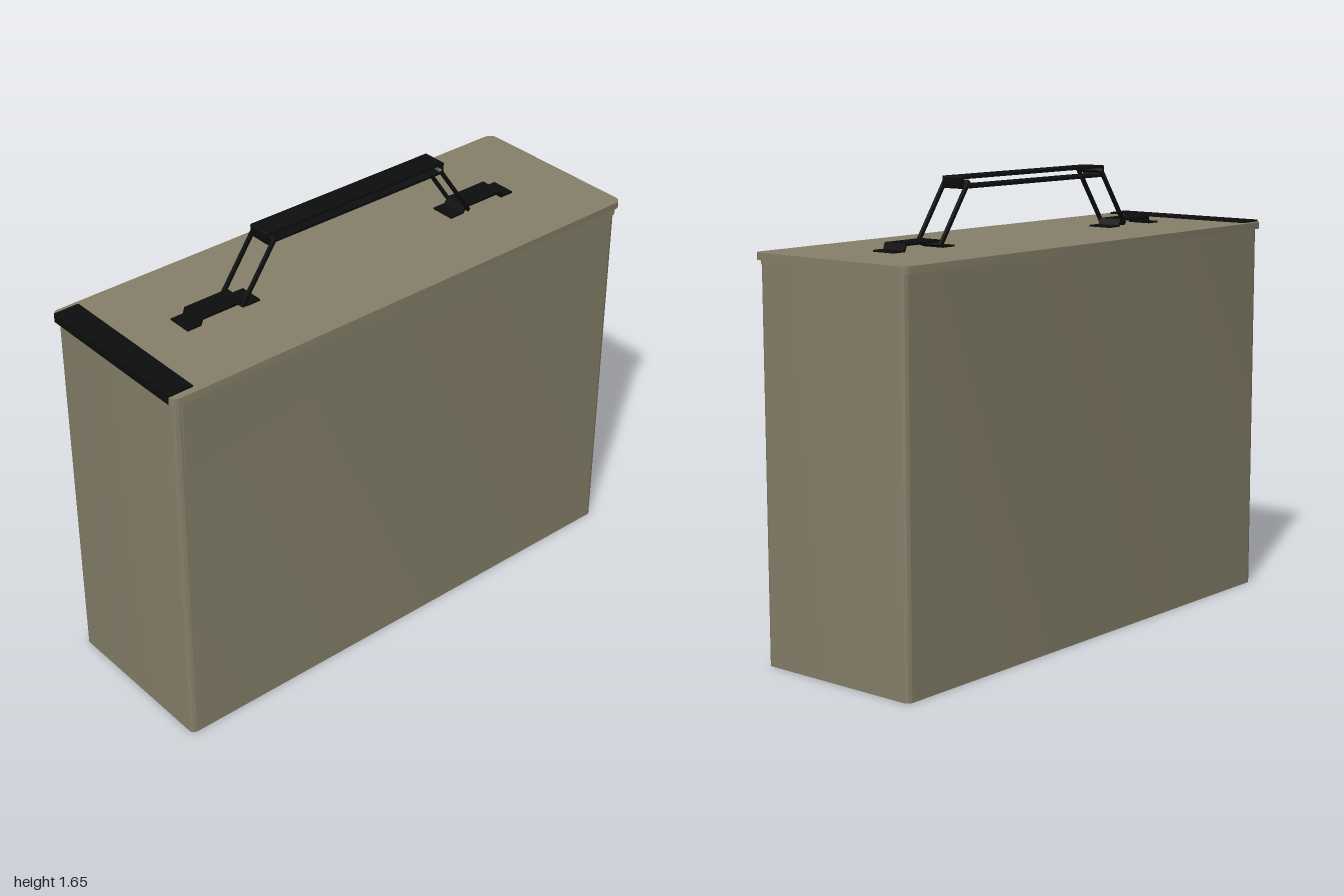
import * as THREE from 'three';
import { toCreasedNormals } from 'three/addons/utils/BufferGeometryUtils.js';

const olive = new THREE.MeshStandardMaterial({ color: 0x857f69 });
olive.name = 'olive paint';
const black = new THREE.MeshStandardMaterial({ color: 0x0c0d0d });
black.name = 'black metal';

// Rounded rectangle outline centred on (cx, cy)
function roundedRect(w, h, r, Type = THREE.Shape, cx = 0, cy = 0) {
  const s = new Type(), x = w / 2 - r, y = h / 2 - r;
  s.absarc(cx + x, cy + y, r, 0, Math.PI / 2);
  s.absarc(cx - x, cy + y, r, Math.PI / 2, Math.PI);
  s.absarc(cx - x, cy - y, r, Math.PI, Math.PI * 1.5);
  s.absarc(cx + x, cy - y, r, Math.PI * 1.5, Math.PI * 2);
  s.closePath();
  return s;
}

function extrude(shape, depth) {
  return new THREE.ExtrudeGeometry(shape, { depth, bevelEnabled: false, curveSegments: 6 });
}

// Plan outline raised from y0 to y1
function upright(shape, y0, y1) {
  const g = extrude(shape, y1 - y0).rotateX(-Math.PI / 2).translate(0, y0, 0);
  return toCreasedNormals(g, 0.6);
}

// Side outline, drawn as (z, y), extruded from x0 to x1
function sideways(shape, x0, x1) {
  const g = extrude(shape, x1 - x0).rotateY(-Math.PI / 2).translate(x1, 0, 0);
  return toCreasedNormals(g, 0.6);
}

const outline = (pts) => new THREE.Shape(pts.map(([a, b]) => new THREE.Vector2(a, b)));

export function createModel() {
  const model = new THREE.Group();
  model.name = 'storageBox';
  const add = (name, geometry, material, parent = model) => {
    const mesh = new THREE.Mesh(geometry, material);
    mesh.name = name;
    parent.add(mesh);
    return mesh;
  };

  // Tall box with softly rounded vertical edges
  const body = add('body', upright(roundedRect(0.654, 1.975, 0.02), 0, 1.408), olive);
  body.position.set(-0.003, 0, -0.003);

  // Lid: top plate and downturned rim
  add('lidTop', upright(roundedRect(0.686, 2, 0.03), 1.408, 1.419), olive);
  const rim = roundedRect(0.686, 2, 0.03);
  rim.holes.push(roundedRect(0.676, 1.99, 0.026, THREE.Path));
  add('lidRim', upright(rim, 1.394, 1.408), olive);

  // Sloping side flap hanging from the lid on the left
  const flap = new THREE.Shape();
  flap.moveTo(0.967, 1.408);
  flap.lineTo(0.967, 1.13);
  flap.quadraticCurveTo(0.967, 1.111, 0.945, 1.113);
  flap.lineTo(-0.955, 1.37);
  flap.quadraticCurveTo(-0.965, 1.372, -0.966, 1.385);
  flap.lineTo(-0.967, 1.408);
  add('sideFlap', sideways(flap, 0.337, 0.343), olive);

  // Black angle strip over the front lid edge
  add('frontStrip', sideways(outline([
    [1.002, 1.393], [1.002, 1.426], [0.905, 1.426], [0.905, 1.417], [0.993, 1.417], [0.993, 1.393],
  ]), -0.32, 0.316), black);

  // Carrying handle
  const handle = new THREE.Group();
  handle.name = 'handle';
  model.add(handle);

  // Grip: flattened strap loop, open at the sides
  const grip = roundedRect(0.785, 0.042, 0.004, THREE.Shape, -0.01, 1.632);
  grip.holes.push(roundedRect(0.767, 0.024, 0.002, THREE.Path, -0.01, 1.632));
  add('grip', sideways(grip, -0.053, 0.037), black, handle);

  for (const [side, shift] of [[1, 0], [-1, -0.013]]) {
    const label = side > 0 ? 'front' : 'back';
    const at = (z) => side * z + shift;

    // Bent strap bracket holding the wire link
    const top = [[0.725, 1.425], [0.676, 1.425], [0.668, 1.447], [0.49, 1.447], [0.478, 1.425], [0.425, 1.425]];
    const under = [[0.425, 1.418], [0.484, 1.418], [0.496, 1.439], [0.662, 1.439], [0.67, 1.418], [0.725, 1.418]];
    add(label + 'Bracket',
      sideways(outline([...top, ...under].map(([z, y]) => [at(z), y])), -0.048, 0.046), black, handle);

    // Rectangular wire link leaning from the bracket to the grip
    const low = new THREE.Vector3(0, 1.433, at(0.502));
    const high = new THREE.Vector3(0, 1.634, at(0.362));
    const length = low.distanceTo(high);
    const frame = roundedRect(0.118, length + 0.012, 0.006);
    frame.holes.push(roundedRect(0.094, length - 0.012, 0.003, THREE.Path));
    const link = add(label + 'Link', toCreasedNormals(extrude(frame, 0.012).translate(0, 0, -0.006), 0.6), black, handle);
    link.position.copy(low).add(high).multiplyScalar(0.5);
    link.position.x = -0.003;
    link.rotation.x = Math.atan2(high.z - low.z, high.y - low.y);
  }
  return model;
}
